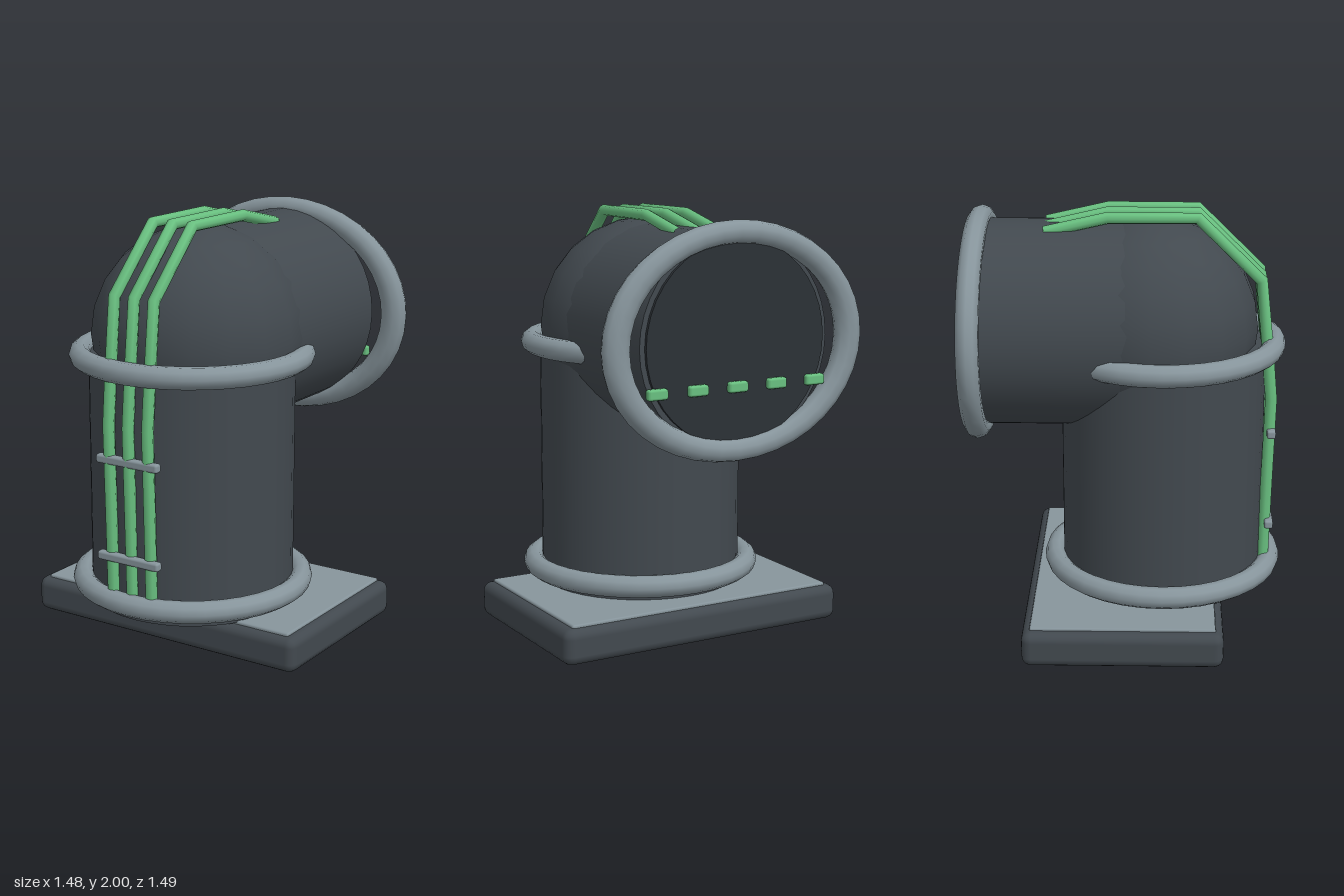
import * as THREE from 'three';
import { RoundedBoxGeometry } from 'three/addons/geometries/RoundedBoxGeometry.js';

const paint = (color) => new THREE.MeshStandardMaterial({ color });

export function createModel() {
  const model = new THREE.Group();
  const dark = paint(0x42494f);
  const black = paint(0x2c3136);
  const steel = paint(0x87959c);
  const green = paint(0x69c080);

  const add = (name, geometry, material, x, y, z) => {
    const mesh = new THREE.Mesh(geometry, material);
    mesh.name = name;
    mesh.position.set(x, y, z);
    model.add(mesh);
    return mesh;
  };

  const R = 0.485; // pipe radius
  const axisZ = 0.17; // upright pipe axis
  const axisY = 1.447; // outlet pipe axis

  // Base slab and its top plate
  add('base', new RoundedBoxGeometry(1.48, 0.17, 0.935, 2, 0.045), dark, 0, 0.085, -0.01);
  add('basePlate', new RoundedBoxGeometry(1.38, 0.06, 0.86, 1, 0.01), steel, 0, 0.153, -0.01);

  // Elbow: upright pipe, rounded bend, outlet pipe to the rear
  add('uprightPipe', new THREE.CylinderGeometry(R, R, 1.19, 40), dark, 0, 0.77, axisZ);
  add('bend', new THREE.SphereGeometry(0.508, 18, 12), dark, 0, 1.442, 0.11);
  const outlet = add('outletPipe', new THREE.CylinderGeometry(R, R, 0.79, 40), dark, 0, axisY, -0.295);
  outlet.rotation.x = Math.PI / 2;
  const cap = add('outletCap', new THREE.CylinderGeometry(0.46, 0.46, 0.03, 40), black, 0, axisY, -0.69);
  cap.rotation.x = Math.PI / 2;

  // Collar rings around the upright pipe
  for (const [name, y] of [['lowerRing', 0.26], ['upperRing', 1.355]]) {
    const ring = add(name, new THREE.TorusGeometry(0.525, 0.052, 10, 36), steel, 0, y, axisZ);
    ring.rotation.x = Math.PI / 2;
  }

  // Wide oval ring at the outlet
  const outletRing = add('outletRing', new THREE.TorusGeometry(0.485, 0.053, 10, 40), steel, 0, axisY, -0.692);
  outletRing.scale.x = 1.245;

  // Lights in a row across the outlet cap
  for (let i = -2; i <= 2; i++) {
    add('outletLight', new RoundedBoxGeometry(0.1, 0.05, 0.04, 1, 0.012), green, i * 0.205, 1.25, -0.71);
  }

  // Three conduits running up the front and over the bend, as [y, z]
  const route = [
    [0.25, 0.66], [0.7, 0.67], [1.1, 0.68], [1.35, 0.657], [1.68, 0.622],
    [1.972, 0.325], [1.972, -0.09], [1.905, -0.38],
  ];
  for (const x of [-0.108, 0, 0.108]) {
    const curve = new THREE.CatmullRomCurve3(route.map(([y, z]) => new THREE.Vector3(0, y, z)));
    // Sample at the route points only, so the bends stay angular
    curve.getPointAt = curve.getPoint;
    curve.getTangentAt = curve.getTangent;
    add('conduit', new THREE.TubeGeometry(curve, route.length - 1, 0.028, 8), green, x, 0, 0);
  }

  // Clips holding the conduits
  for (const y of [0.475, 0.94]) {
    add('conduitClip', new RoundedBoxGeometry(0.34, 0.042, 0.042, 2, 0.012), steel, 0, y, 0.683);
  }

  return model;
}
